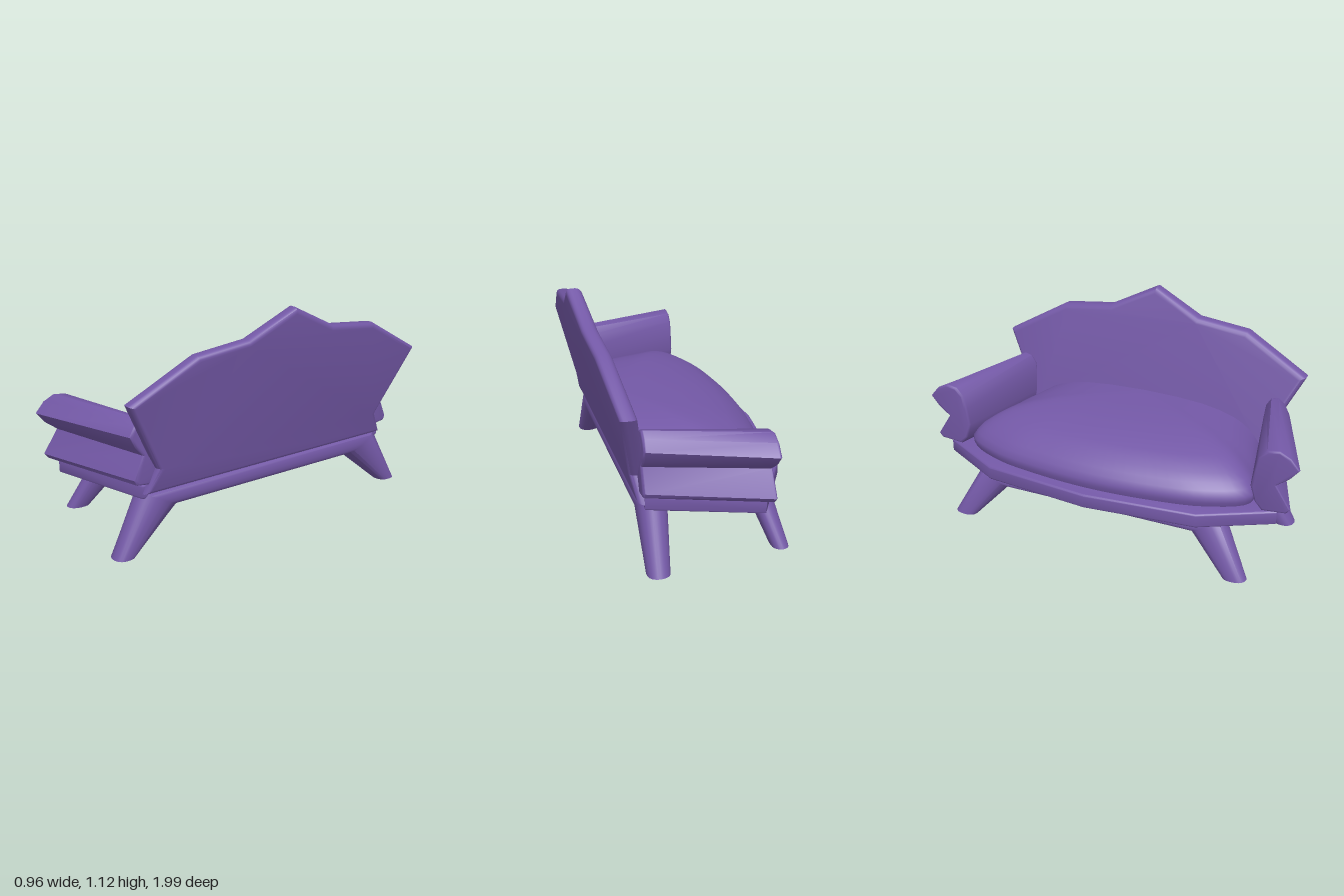
import * as THREE from 'three';
import { toCreasedNormals } from 'three/addons/utils/BufferGeometryUtils.js';

const V2 = (p) => new THREE.Vector2(p[0], p[1]);
const V3 = (x, y, z) => new THREE.Vector3(x, y, z);

// Bevelled plate: outline in u,v with thickness w running 0..depth
function plate(points, depth, bevel) {
  return new THREE.ExtrudeGeometry(new THREE.Shape(points.map(V2)), {
    depth: depth - 2 * bevel, bevelSize: bevel, bevelThickness: bevel,
    bevelOffset: -bevel, bevelSegments: 4,
  }).translate(0, 0, bevel);
}

// Move every vertex by a rule
function reshape(geo, rule) {
  const p = geo.attributes.position;
  for (let i = 0; i < p.count; i++) p.setXYZ(i, ...rule(p.getX(i), p.getY(i), p.getZ(i)));
  return geo;
}

// Capped skin over a row of equal-length rings
function loft(rings) {
  const n = rings[0].length, index = [];
  const pts = rings.flat();
  for (let r = 0; r < rings.length - 1; r++) {
    for (let i = 0; i < n; i++) {
      const a = r * n + i, b = r * n + (i + 1) % n;
      index.push(a, b, a + n, b, b + n, a + n);
    }
  }
  const last = pts.length - n;
  for (let i = 1; i < n - 1; i++) {
    index.push(0, i + 1, i, last, last + i, last + i + 1);
  }
  return new THREE.BufferGeometry().setFromPoints(pts).setIndex(index).toNonIndexed();
}

// Two splayed legs joined by a rail; each section spans an outer and an inner point
function legFrame(foot, knee) {
  const flip = (s) => ({ ...s, outer: [-s.outer[0], s.outer[1]], inner: [-s.inner[0], s.inner[1]] });
  return loft([foot, knee, flip(knee), flip(foot)].map(({ outer, inner, x, half, lean }) => {
    const ring = [];
    for (let i = 0; i < 24; i++) {
      const t = i / 24 * Math.PI * 2;
      const c = Math.sign(Math.cos(t)) * Math.abs(Math.cos(t)) ** 0.75;
      const k = (1 + c) / 2;
      const y = inner[1] + (outer[1] - inner[1]) * k;
      const mid = (inner[1] + outer[1]) / 2;
      ring.push(V3(x + lean * (y - mid) + half * Math.sin(t), y, inner[0] + (outer[0] - inner[0]) * k));
    }
    return ring;
  }));
}

export function createModel() {
  const group = new THREE.Group();
  const material = new THREE.MeshStandardMaterial({ color: 0x7358a6 });
  const add = (name, geo, crease = 0.6) => {
    geo.deleteAttribute('normal');
    const mesh = new THREE.Mesh(toCreasedNormals(geo, crease), material);
    mesh.name = name;
    group.add(mesh);
  };
  const mirrored = (half) => [...half, ...half.filter((p) => p[0] !== 0).reverse().map(([u, v]) => [-u, v])];

  // Seat base with a pointed front
  const base = plate([[-0.48, 0], [-0.425, 0.56], [-0.24, 0.9], [0.28, 0.73],
    [0.28, -0.73], [-0.24, -0.9], [-0.425, -0.56]], 0.075, 0.012);
  add('seatBase', reshape(base, (u, v, w) => [u, 0.35 - w, v]));

  // Domed cushion, shrinking towards the middle of its back edge
  const front = new THREE.CatmullRomCurve3([[0.27, -0.66], [-0.05, -0.74], [-0.23, -0.77], [-0.345, -0.58],
    [-0.4, -0.3], [-0.42, 0], [-0.4, 0.3], [-0.345, 0.58], [-0.23, 0.77], [-0.05, 0.74], [0.27, 0.66]]
    .map(([x, z]) => V3(x, 0, z))).getPoints(50);
  const layers = [[0.985, 0.345], [1, 0.375], [1, 0.4], [0.975, 0.43], [0.94, 0.46], [0.89, 0.487], [0.83, 0.515],
    [0.77, 0.535], [0.65, 0.56], [0.5, 0.579], [0.3, 0.59], [0.02, 0.595]];
  add('seatCushion', loft(layers.map(([s, y]) => front.map((p) => V3(0.27 + (p.x - 0.27) * s, y, p.z * s)))), 0.8);

  // Leaning backrest with a stepped crest
  const back = plate(mirrored([[0, 1.125], [0.25, 1.0], [0.52, 0.97], [0.85, 0.785],
    [0.67, 0.43], [0.73, 0.305]]), 0.08, 0.028);
  add('backrest', reshape(back, (u, v, w) => [0.23 + w + 0.22 * (v - 0.305), v, -u]));

  // Rolled arms, angled outwards and widening to the front
  const armProfile = [[0.9, 0.68], [0.955, 0.653], [1.0, 0.6], [0.955, 0.545], [0.895, 0.5], [0.97, 0.385],
    [0.95, 0.36], [0.83, 0.35], [0.795, 0.39], [0.77, 0.47], [0.785, 0.56], [0.8, 0.63], [0.84, 0.67]];
  for (const side of [1, -1]) {
    const arm = plate(armProfile.map(([z, y]) => [-side * z, y]), 0.565, 0.012);
    add(side > 0 ? 'leftArm' : 'rightArm', reshape(arm, (u, v, w) => {
      const t = w / 0.565, z = Math.abs(u);
      const rear = 0.65 + (z - 0.77) * 0.61;
      return [-0.265 + w, v, side * (z + (rear - z) * t)];
    }), 0.75);
  }

  // Leg frames
  add('backLegs', legFrame(
    { outer: [0.88, 0], inner: [0.77, 0], x: 0.245, half: 0.055, lean: 0 },
    { outer: [0.725, 0.31], inner: [0.53, 0.2], x: 0.228, half: 0.072, lean: 0 }), 0.7);
  add('frontLegs', legFrame(
    { outer: [0.81, 0.015], inner: [0.69, 0.01], x: -0.37, half: 0.042, lean: 0 },
    { outer: [0.66, 0.3], inner: [0.51, 0.2], x: -0.305, half: 0.06, lean: 0.3 }), 0.7);

  return group;
}
